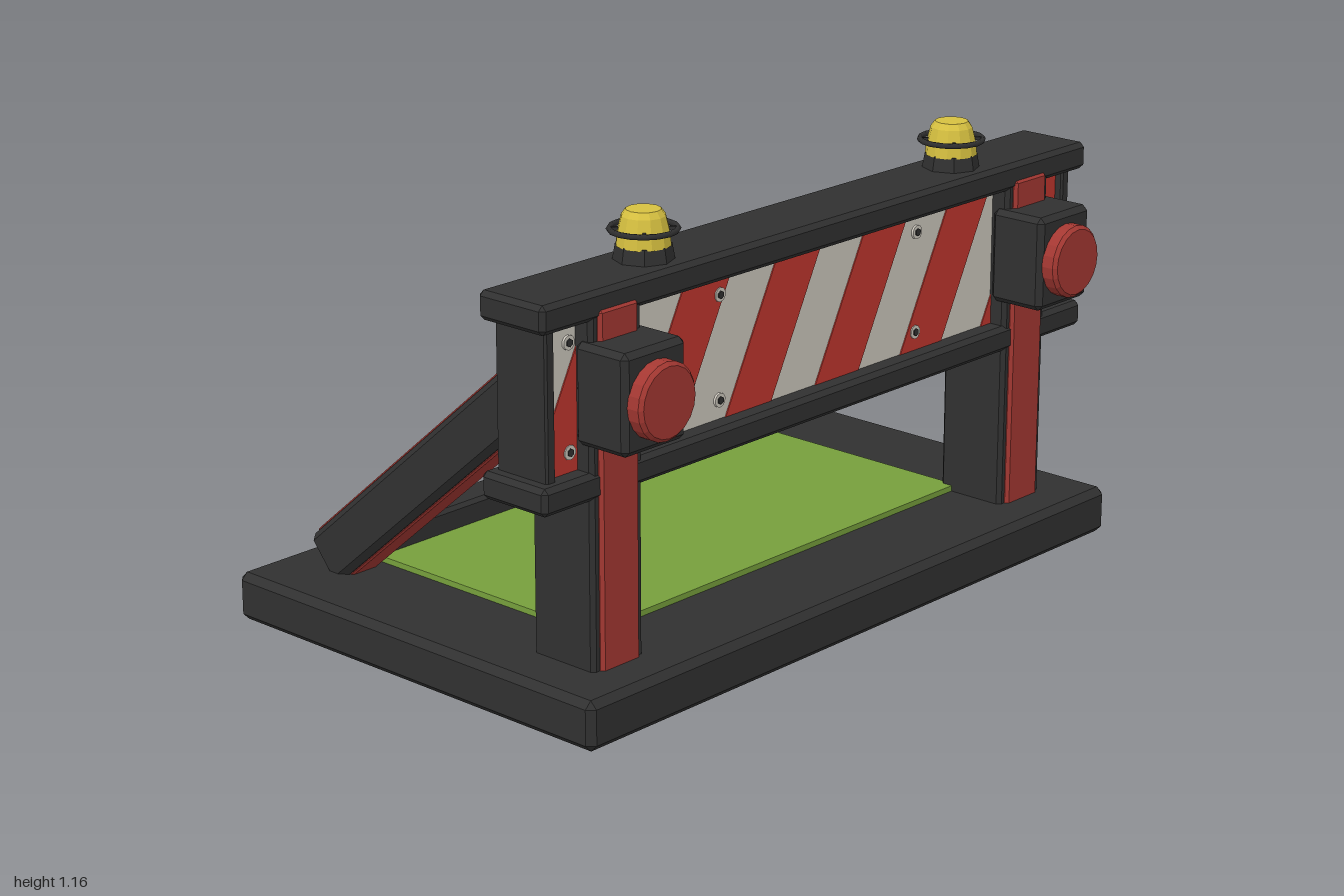
import * as THREE from 'three';
import { ConvexGeometry } from 'three/addons/geometries/ConvexGeometry.js';

const mat = (name, color) => {
  const m = new THREE.MeshStandardMaterial({ color });
  m.name = name;
  return m;
};

export function createModel() {
  const model = new THREE.Group();
  model.name = 'trackEndStop';
  const steel = mat('dark steel', 0x303030);
  const red = mat('beam red', 0xa43832);
  const stripeRed = mat('stripe red', 0xc0362e);
  const white = mat('stripe white', 0xcdc8be);
  const grass = mat('grass green', 0x769f3c);
  const yellow = mat('lamp yellow', 0xd6c040);

  const add = (parent, name, geo, material, x = 0, y = 0, z = 0) => {
    const mesh = new THREE.Mesh(geo, material);
    mesh.name = name;
    mesh.position.set(x, y, z);
    parent.add(mesh);
    return mesh;
  };

  // Box with chamfered edges
  const chamferBox = (w, h, d, c) => {
    const pts = [];
    for (const i of [-1, 1]) for (const j of [-1, 1]) for (const k of [-1, 1]) {
      const x = w / 2, y = h / 2, z = d / 2;
      pts.push(
        new THREE.Vector3(i * x, j * (y - c), k * (z - c)),
        new THREE.Vector3(i * (x - c), j * y, k * (z - c)),
        new THREE.Vector3(i * (x - c), j * (y - c), k * z));
    }
    return new ConvexGeometry(pts);
  };
  // Chamfered box given by its limits
  const block = (name, material, [x0, x1], [y0, y1], [z0, z1], c = 0.012, parent = model) =>
    add(parent, name, chamferBox(x1 - x0, y1 - y0, z1 - z0, c), material,
      (x0 + x1) / 2, (y0 + y1) / 2, (z0 + z1) / 2);

  // Base slab, grass bed and rear cross bar
  block('base', steel, [-0.98, 0.98], [0, 0.125], [-0.63, 0.59], 0.018);
  add(model, 'grassBed', new THREE.BoxGeometry(1.38, 0.02, 0.74), grass, 0, 0.13, -0.06);
  block('rearCrossBar', steel, [-0.72, 0.72], [0.11, 0.2], [-0.52, -0.42], 0.01);

  // Rails above and below the striped board
  block('topRail', steel, [-1, 1], [0.97, 1.04], [0.265, 0.472]);
  block('lowerRail', steel, [-1, 1], [0.545, 0.612], [0.265, 0.472]);

  // Striped board
  const yLow = 0.61, yHigh = 0.97, half = 0.945, boardZ = 0.37;
  add(model, 'board', new THREE.BoxGeometry(half * 2, yHigh - yLow, 0.1), white,
    0, (yLow + yHigh) / 2, boardZ);

  // Cut a polygon at one end of the board, keeping the inner part
  const clip = (poly, side) => {
    const out = [];
    poly.forEach((a, i) => {
      const b = poly[(i + 1) % poly.length];
      const da = half - side * a.x, db = half - side * b.x;
      if (da >= 0) out.push(a);
      if (da * db < 0) out.push(a.clone().lerp(b, da / (da - db)));
    });
    return out;
  };
  for (let i = 0; i < 6; i++) {
    const x = -0.995 + i * 0.326, w = 0.163, lean = 0.183;
    const poly = clip(clip([
      new THREE.Vector2(x, yLow), new THREE.Vector2(x + w, yLow),
      new THREE.Vector2(x + w + lean, yHigh), new THREE.Vector2(x + lean, yHigh)], -1), 1);
    const geo = new THREE.ExtrudeGeometry(new THREE.Shape(poly), { depth: 0.106, bevelEnabled: false });
    add(model, 'redStripe', geo, stripeRed, 0, 0, boardZ - 0.053);
  }

  // Board bolts on both faces
  const washer = new THREE.CylinderGeometry(0.018, 0.018, 0.006, 10).rotateX(Math.PI / 2);
  const bolt = new THREE.CylinderGeometry(0.01, 0.01, 0.01, 6).rotateX(Math.PI / 2);
  for (const x of [-0.87, -0.365, 0.365, 0.87]) for (const y of [0.66, 0.92]) for (const s of [-1, 1]) {
    add(model, 'washer', washer, white, x, y, boardZ + s * 0.053);
    add(model, 'bolt', bolt, steel, x, y, boardZ + s * 0.054);
  }

  // Faceted turned parts: bumper disc, lamp dome and lamp base
  const faceted = (geo) => {
    const flat = geo.toNonIndexed();
    flat.computeVertexNormals();
    return flat;
  };
  const turned = (profile, sides) =>
    faceted(new THREE.LatheGeometry(profile.map(p => new THREE.Vector2(...p)), sides));
  const discGeo = turned(
    [[0, 0], [0.094, 0], [0.094, 0.033], [0.085, 0.042], [0, 0.042]], 20).rotateX(Math.PI / 2);
  const domeGeo = turned(
    [[0.066, 0], [0.063, 0.03], [0.053, 0.07], [0.042, 0.085], [0, 0.085]], 12);
  const lampBaseGeo = faceted(new THREE.CylinderGeometry(0.066, 0.074, 0.045, 8));
  const ringGeo = new THREE.TorusGeometry(0.08, 0.007, 6, 16).rotateX(Math.PI / 2);

  for (const s of [-1, 1]) {
    const side = new THREE.Group();
    side.name = s > 0 ? 'leftSupport' : 'rightSupport';
    model.add(side);
    const cx = s * 0.76;
    const span = (w) => [cx - w / 2, cx + w / 2];

    // Upright with red faces front and back
    block('post', steel, span(0.17), [0.11, 1.0], [0.272, 0.468], 0.01, side);
    block('postRedFace', red, span(0.128), [0.115, 0.995], [0.262, 0.478], 0.008, side);

    // Sloping rear brace with red faces above and below
    const brace = new THREE.Group();
    brace.name = 'brace';
    const from = new THREE.Vector3(cx, 0.846, 0.33), to = new THREE.Vector3(cx, 0.14, -0.5);
    const length = from.distanceTo(to);
    brace.position.copy(from).add(to).multiplyScalar(0.5);
    brace.rotation.x = -Math.atan2(from.y - to.y, from.z - to.z);
    add(brace, 'braceBeam', chamferBox(0.12, 0.138, length, 0.016), steel);
    add(brace, 'braceRedFace', chamferBox(0.08, 0.15, length - 0.05, 0.004), red);
    side.add(brace);

    // Bumper block and disc
    block('bumperBlock', steel, span(0.205), [0.678, 0.922], [0.43, 0.59], 0.014, side);
    add(side, 'bumperDisc', discGeo, red, cx, 0.798, 0.588);

    // Board end plate
    block('endPlate', steel, s > 0 ? [0.935, 0.965] : [-0.965, -0.935], [0.6, 0.98], [0.285, 0.445], 0.005, side);

    // Warning lamp with guard ring
    const lamp = new THREE.Group();
    lamp.name = 'lamp';
    lamp.position.set(s * 0.565, 0, 0.368);
    add(lamp, 'lampBase', lampBaseGeo, steel, 0, 1.055, 0);
    add(lamp, 'lampDome', domeGeo, yellow, 0, 1.074, 0);
    add(lamp, 'lampRing', ringGeo, steel, 0, 1.112, 0);
    for (let i = 0; i < 4; i++) {
      const a = i * Math.PI / 2 + Math.PI / 4;
      const spoke = add(lamp, 'lampRingSpoke', new THREE.BoxGeometry(0.03, 0.008, 0.008), steel,
        Math.cos(a) * 0.066, 1.112, Math.sin(a) * 0.066);
      spoke.rotation.y = -a;
    }
    side.add(lamp);
  }
  return model;
}
